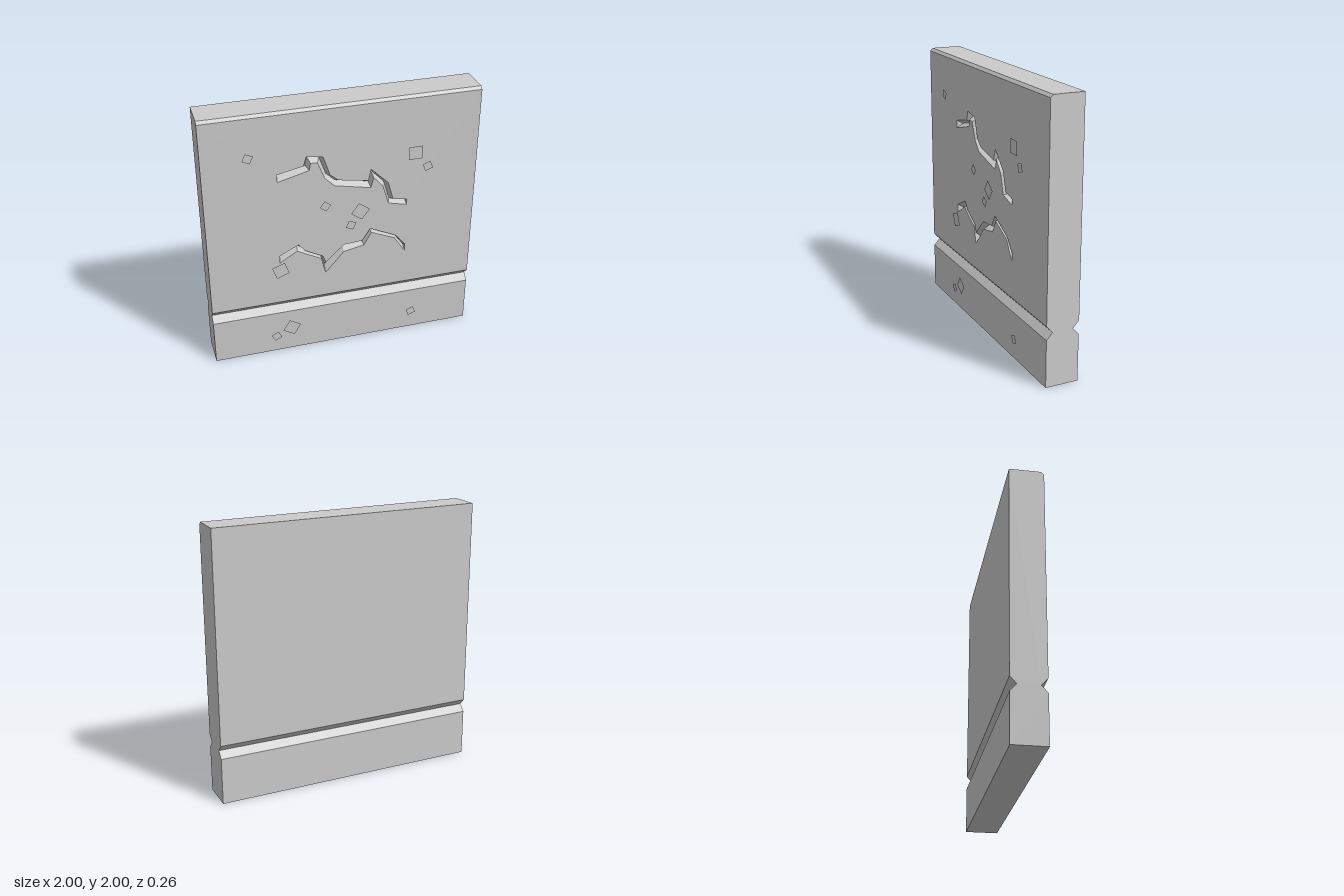
import * as THREE from 'three';

const FRONT = 0.115, BACK = -0.13, CRACK_DEPTH = 0.05;

// side profile of the slab as [z, y]; the closing edge is the cracked front panel
const PROFILE = [
  [FRONT, 1.98], [FRONT - 0.02, 2], [BACK, 2], [BACK, 0.45], [BACK + 0.045, 0.4], [BACK, 0.35],
  [BACK, 0], [FRONT, 0], [FRONT, 0.35], [FRONT - 0.045, 0.4], [FRONT, 0.45],
];

// upper and lower lip of each crack, left to right in the front view, as [x, y]
const CRACKS = [
  {
    name: 'upperCrack',
    top: [[-0.48, 1.53], [-0.29, 1.57], [-0.27, 1.64], [-0.15, 1.62], [-0.1, 1.47], [-0.04, 1.42],
      [0.18, 1.38], [0.2, 1.47], [0.33, 1.34], [0.37, 1.2], [0.475, 1.18]],
    bottom: [[-0.48, 1.47], [-0.25, 1.53], [-0.24, 1.585], [-0.19, 1.58], [-0.14, 1.45], [-0.07, 1.38],
      [0.2, 1.32], [0.22, 1.4], [0.29, 1.32], [0.335, 1.17], [0.475, 1.135]],
  },
  {
    name: 'lowerCrack',
    top: [[-0.48, 0.86], [-0.34, 0.93], [-0.29, 0.87], [-0.16, 0.8], [-0.135, 0.74],
      [0, 0.87], [0.14, 0.88], [0.2, 0.975], [0.4, 0.88], [0.475, 0.79]],
    bottom: [[-0.48, 0.8], [-0.35, 0.88], [-0.3, 0.85], [-0.17, 0.78], [-0.14, 0.65],
      [0, 0.81], [0.155, 0.84], [0.21, 0.94], [0.39, 0.86], [0.475, 0.73]],
  },
];

// flat square chips: [x, y, side, rotation in degrees]
const CHIPS = [
  [-0.68, 1.69, 0.06, -25], [0.525, 1.56, 0.1, 0], [0.62, 1.44, 0.06, 20], [-0.14, 1.23, 0.06, -38],
  [0.12, 1.145, 0.1, -36], [0.05, 1.04, 0.06, -24], [-0.48, 0.74, 0.1, 20], [-0.41, 0.205, 0.1, -32],
  [-0.53, 0.145, 0.06, 28], [0.54, 0.16, 0.06, 20],
];

const toShape = (pts) => new THREE.Shape(pts.map(([x, y]) => new THREE.Vector2(x, y)));

// geometry from a list of polygons (triangles or quads), corners counter-clockwise
function fromPolygons(polys) {
  const pos = [];
  for (const p of polys) {
    for (let i = 1; i < p.length - 1; i++) pos.push(...p[0], ...p[i], ...p[i + 1]);
  }
  const geo = new THREE.BufferGeometry();
  geo.setAttribute('position', new THREE.Float32BufferAttribute(pos, 3));
  geo.computeVertexNormals();
  return geo;
}

// V-shaped groove between two lips, closed at both ends
function crackGeometry({ top, bottom }) {
  const T = top.map(([x, y]) => [x, y, FRONT]);
  const B = bottom.map(([x, y]) => [x, y, FRONT]);
  const M = T.map((t, i) => [(t[0] + B[i][0]) / 2, (t[1] + B[i][1]) / 2, FRONT - CRACK_DEPTH]);
  const n = T.length - 1;
  const polys = [[T[0], B[0], M[0]], [T[n], M[n], B[n]]];
  for (let i = 0; i < n; i++) {
    polys.push([T[i], M[i], M[i + 1], T[i + 1]], [M[i], B[i], B[i + 1], M[i + 1]]);
  }
  return fromPolygons(polys);
}

export function createModel() {
  const group = new THREE.Group();
  const stone = new THREE.MeshStandardMaterial({ color: 0xcccccc, flatShading: true });
  const thin = new THREE.MeshStandardMaterial({ color: 0xcccccc, flatShading: true, side: THREE.DoubleSide });
  const add = (name, geo, mat = stone) => {
    const mesh = new THREE.Mesh(geo, mat);
    mesh.name = name;
    group.add(mesh);
    return mesh;
  };

  // slab shell: bevel, top, grooved back, bottom, plinth and front groove
  const shell = [];
  for (let i = 0; i < PROFILE.length - 1; i++) {
    const [za, ya] = PROFILE[i], [zb, yb] = PROFILE[i + 1];
    shell.push([[-1, ya, za], [1, ya, za], [1, yb, zb], [-1, yb, zb]]);
  }
  add('slabShell', fromPolygons(shell));

  // slab ends
  for (const s of [1, -1]) {
    const end = new THREE.ShapeGeometry(toShape(PROFILE.map(([z, y]) => [-s * z, y])));
    end.rotateY(s * Math.PI / 2).translate(s, 0, 0);
    add(s > 0 ? 'leftEnd' : 'rightEnd', end);
  }

  // front panel with crack openings
  const panel = toShape([[-1, 0.45], [1, 0.45], [1, 1.98], [-1, 1.98]]);
  for (const crack of CRACKS) {
    panel.holes.push(toShape([...crack.top, ...[...crack.bottom].reverse()]));
    add(crack.name, crackGeometry(crack));
  }
  add('frontPanel', new THREE.ShapeGeometry(panel).translate(0, 0, FRONT));

  // chips lying just proud of the front
  for (const [x, y, size, deg] of CHIPS) {
    const chip = add('stoneChip', new THREE.PlaneGeometry(size, size), thin);
    chip.position.set(x, y, 0.13);
    chip.rotation.z = THREE.MathUtils.degToRad(deg);
  }
  return group;
}
